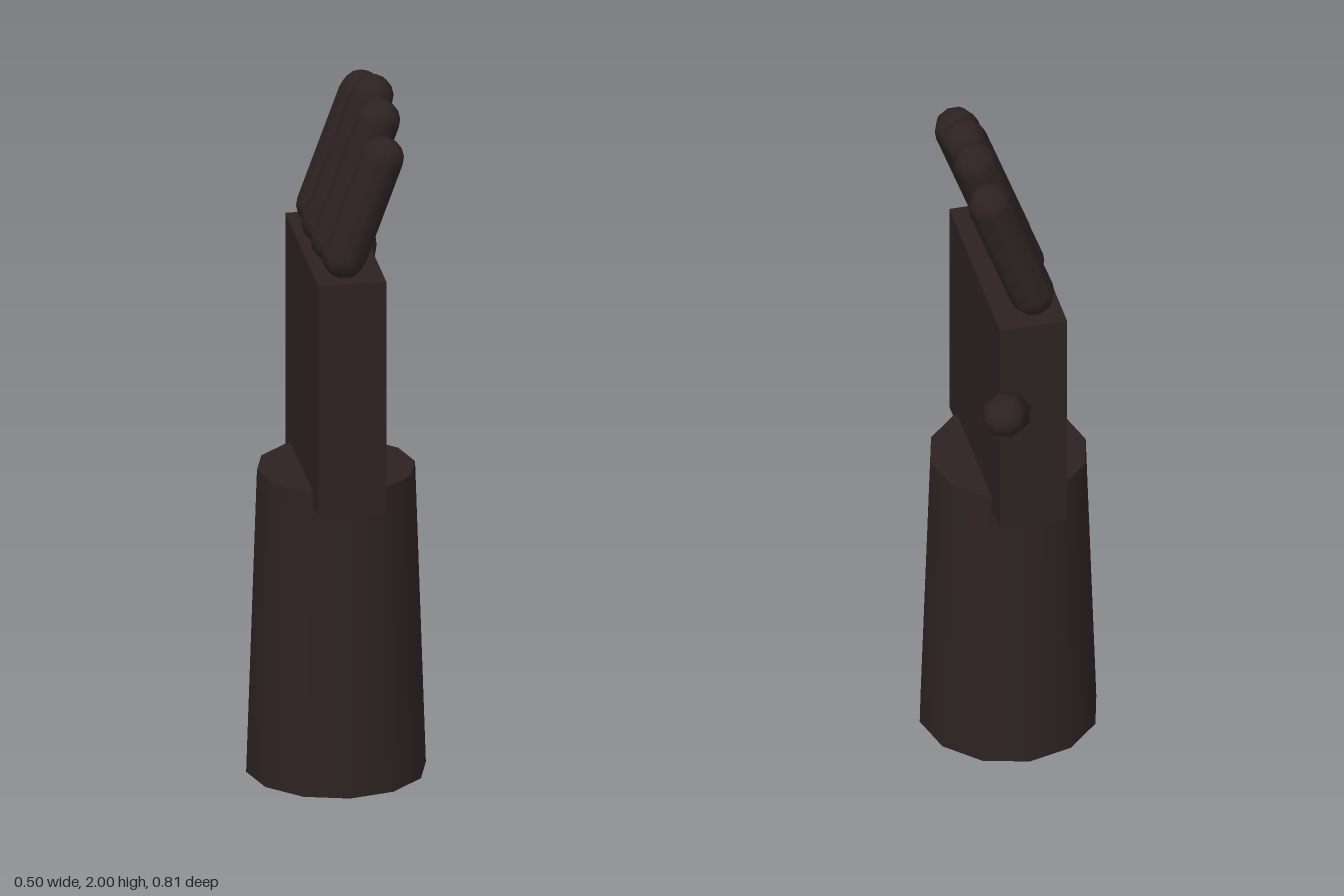
import * as THREE from 'three';

const UP = new THREE.Vector3(0, 1, 0);

export function createModel() {
  const group = new THREE.Group();
  const skin = new THREE.MeshStandardMaterial({ color: 0x2d2222 });
  skin.name = 'dark brown';

  const add = (name, geometry, x, y, z) => {
    const mesh = new THREE.Mesh(geometry, skin);
    mesh.name = name;
    mesh.position.set(x, y, z);
    group.add(mesh);
    return mesh;
  };

  // Round-ended digit between the centres of its two end caps
  const addDigit = (name, from, to) => {
    const a = new THREE.Vector3(...from);
    const b = new THREE.Vector3(...to);
    const mid = a.clone().add(b).multiplyScalar(0.5);
    const digit = add(name, new THREE.CapsuleGeometry(0.0625, a.distanceTo(b), 4, 8), mid.x, mid.y, mid.z);
    digit.quaternion.setFromUnitVectors(UP, b.sub(a).normalize());
  };

  // Tapered forearm and flat palm
  add('forearm', new THREE.CylinderGeometry(0.22, 0.25, 0.885, 12), 0, 0.4425, 0.12);
  add('palm', new THREE.BoxGeometry(0.19, 0.68, 0.575), 0, 1.185, 0.1175);

  // Four fingers leaning towards +x: [name, z, height of the tip]
  const lean = Math.tan(0.35);
  const baseX = -0.023, baseY = 1.577;
  [
    ['littleFinger', 0.324, 1.92],
    ['ringFinger', 0.19, 1.98],
    ['middleFinger', 0.05, 2.0],
    ['indexFinger', -0.09, 1.96],
  ].forEach(([name, z, top]) => {
    const tipY = top - 0.0625;
    const dx = (tipY - baseY) * lean;
    // All fingers share the same middle x
    const shift = 0.066 - dx / 2;
    addDigit(name, [baseX + shift, baseY, z], [baseX + shift + dx, tipY, z]);
  });

  // Thumb reaching out to the back
  addDigit('thumb', [0.045, 1.183, -0.092], [0.125, 1.366, -0.343]);

  return group;
}
